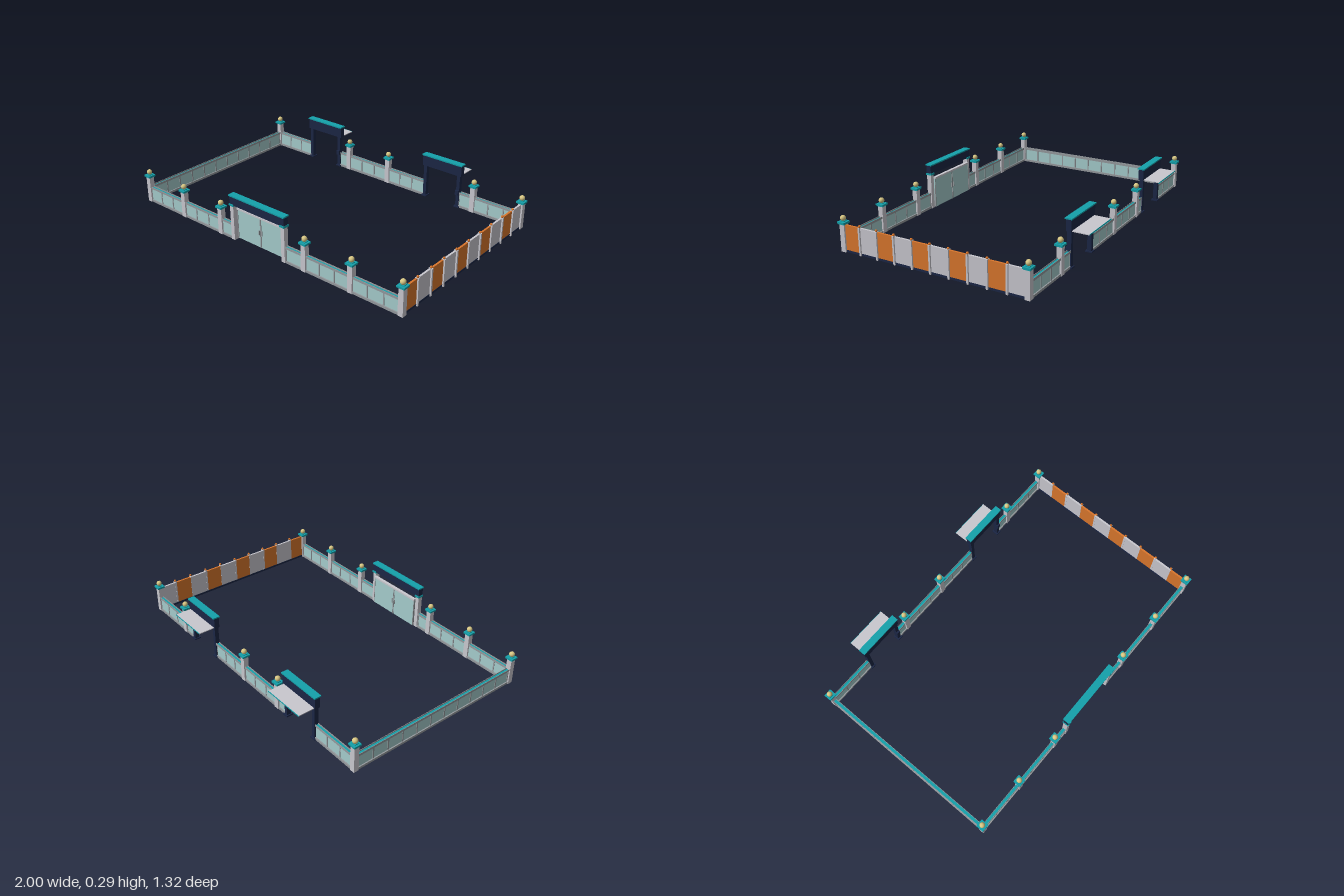
import * as THREE from 'three';

const mat = (name, color) => {
  const m = new THREE.MeshStandardMaterial({ color });
  m.name = name;
  return m;
};

export function createModel() {
  const stone = mat('light grey', 0xc9c8cf);
  const frame = mat('frame grey', 0x959a9e);
  const teal = mat('teal', 0x14a1ab);
  const glass = mat('pale teal', 0xa5cccc);
  const navy = mat('navy', 0x1b2645);
  const orange = mat('orange', 0xd9762c);
  const gold = mat('pale gold', 0xd8c784);

  const root = new THREE.Group();
  root.name = 'walledYard';
  const X = 0.975, FRONT = 0.636, BACK = -0.543;

  const group = (name, x = 0, z = 0, parent = root) => {
    const g = new THREE.Group();
    g.name = name;
    g.position.set(x, 0, z);
    parent.add(g);
    return g;
  };
  // box given by its centre x/z, bottom y and size
  const box = (g, name, m, x, y, z, w, h, d) => {
    const b = new THREE.Mesh(new THREE.BoxGeometry(w, h, d), m);
    b.name = name;
    b.position.set(x, y + h / 2, z);
    g.add(b);
  };
  const ball = (g, name, m, x, y, z, r) => {
    const b = new THREE.Mesh(new THREE.SphereGeometry(r, 16, 12), m);
    b.name = name;
    b.position.set(x, y, z);
    g.add(b);
  };

  // stone pillar with cap and ball
  function pillar(x, z) {
    const g = group('pillar', x, z);
    box(g, 'pillarShaft', stone, 0, 0, 0, 0.032, 0.166, 0.032);
    box(g, 'pillarCollar', teal, 0, 0.163, 0, 0.038, 0.005, 0.038);
    box(g, 'pillarCap', teal, 0, 0.168, 0, 0.049, 0.011, 0.049);
    box(g, 'ballSeat', teal, 0, 0.179, 0, 0.026, 0.004, 0.026);
    ball(g, 'pillarBall', gold, 0, 0.198, 0, 0.0165);
  }

  // low panelled wall running along local x
  function wall(x, z, length, turned = false) {
    const g = group('wall', x, z);
    if (turned) g.rotation.y = Math.PI / 2;
    box(g, 'wallBase', frame, 0, 0, 0, length, 0.014, 0.024);
    box(g, 'wallPanel', glass, 0, 0.014, 0, length, 0.076, 0.01);
    // grey top rail with a teal strip sunk between its lips
    box(g, 'wallRail', frame, 0, 0.089, 0, length, 0.006, 0.022);
    box(g, 'wallStrip', teal, 0, 0.095, 0, length, 0.001, 0.017);
    for (const s of [-1, 1])
      box(g, 'railLip', frame, 0, 0.095, s * 0.0098, length, 0.008, 0.0024);
    const n = Math.max(1, Math.round(length / 0.108));
    for (let i = 0; i <= n; i++) {
      const px = (i / n - 0.5) * (length - 0.008);
      box(g, 'wallMullion', frame, px, 0.014, 0, 0.008, 0.076, 0.016);
    }
  }
  const wallX = (a, b, z) => wall((a + b) / 2, z, b - a);

  for (const x of [-X, -0.65, -0.326, 0.326, 0.65, X]) pillar(x, FRONT);
  for (const x of [-X, -0.326, 0, 0.65, X]) pillar(x, BACK);

  const frontRuns = [[-X, -0.65], [-0.65, -0.326], [-0.326, -0.23], [0.19, 0.326], [0.326, 0.65], [0.65, X]];
  for (const [a, b] of frontRuns) wallX(a, b, FRONT);
  const backRuns = [[-X, -0.66], [-0.41, -0.326], [-0.326, 0], [0, 0.295], [0.55, 0.65], [0.65, X]];
  for (const [a, b] of backRuns) wallX(a, b, BACK);
  wall(-X, (FRONT + BACK) / 2, FRONT - BACK - 0.03, true);

  // signboard with teal top
  function sign(g, width, bottom) {
    box(g, 'signBoard', navy, 0, bottom, 0, width - 0.006, 0.281 - bottom, 0.032);
    box(g, 'signTop', teal, 0, 0.28, 0, width, 0.008, 0.044);
  }

  // front gate with double doors
  const gate = group('frontGate', -0.02, FRONT);
  sign(gate, 0.43, 0.225);
  for (const s of [-1, 1]) {
    box(gate, 'gatePost', stone, s * 0.198, 0, 0, 0.026, 0.222, 0.03);
    box(gate, 'gatePostCap', teal, s * 0.198, 0.219, 0, 0.034, 0.012, 0.04);
    box(gate, 'door', glass, s * 0.0925, 0.004, -0.02, 0.183, 0.189, 0.008);
    for (const e of [0.003, 0.182])
      box(gate, 'doorStile', frame, s * e, 0.004, -0.02, 0.004, 0.189, 0.012);
    box(gate, 'doorHandle', frame, s * 0.011, 0.085, -0.02, 0.004, 0.03, 0.02);
  }
  box(gate, 'doorHeader', stone, 0, 0.19, -0.02, 0.37, 0.011, 0.02);

  // rear entrances with canopies
  for (const x of [-0.535, 0.4225]) {
    const g = group('rearEntrance', x, BACK);
    sign(g, 0.289, 0.212);
    for (const s of [-1, 1]) {
      box(g, 'entrancePost', navy, s * 0.122, 0, 0, 0.022, 0.213, 0.026);
      box(g, 'postFoot', navy, s * 0.122, 0, 0, 0.036, 0.008, 0.042);
    }
    box(g, 'controlBox', navy, 0.12, 0.085, 0.014, 0.022, 0.03, 0.018);
    box(g, 'canopy', stone, 0, 0.211, -0.066, 0.265, 0.005, 0.101);
    box(g, 'canopyEdge', teal, 0, 0.2105, -0.1175, 0.265, 0.006, 0.002);
  }

  // right-hand fence of alternating panels
  const fence = group('panelFence', X, 0);
  const step = (FRONT - BACK) / 10;
  box(fence, 'fenceBase', navy, 0, 0, (FRONT + BACK) / 2, 0.015, 0.013, FRONT - BACK - 0.03);
  for (let i = 0; i < 10; i++) {
    const z = FRONT - (i + 0.5) * step;
    box(fence, 'fencePanel', i % 2 ? stone : orange, 0, 0.012, z, 0.012, 0.15, step);
    if (i === 0) continue;
    const pz = FRONT - i * step;
    box(fence, 'fencePost', stone, 0.004, 0, pz, 0.022, 0.166, 0.011);
    ball(fence, 'fenceFinial', orange, 0.005, 0.172, pz, 0.0075);
  }
  return root;
}
